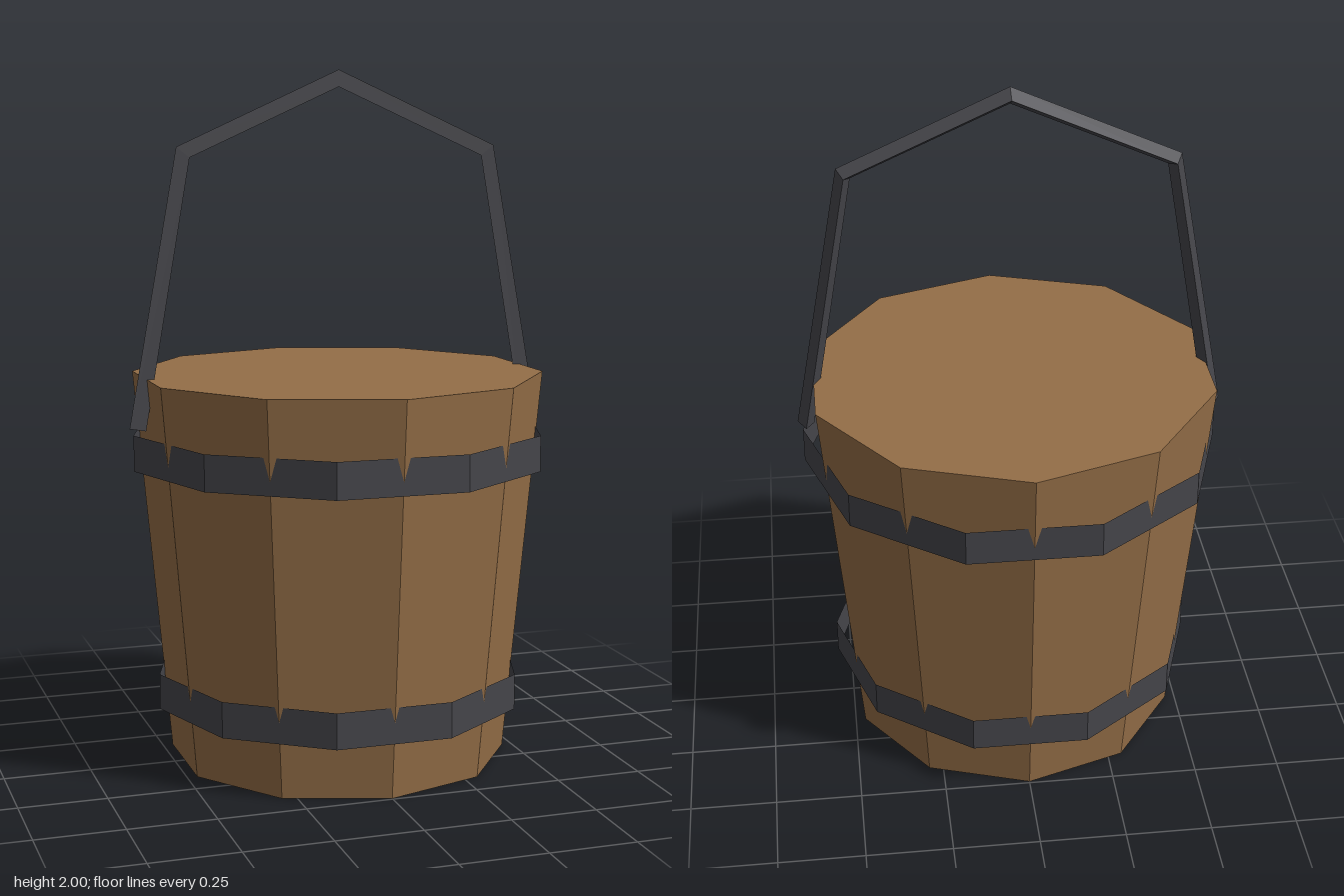
import * as THREE from 'three';

const SIDES = 10;

const wood = new THREE.MeshStandardMaterial({ color: 0x946e47, flatShading: true });
wood.name = 'wood';
const iron = new THREE.MeshStandardMaterial({ color: 0x45454a, flatShading: true, side: THREE.DoubleSide });
iron.name = 'iron';

function addMesh(group, name, geometry, material) {
  const mesh = new THREE.Mesh(geometry, material);
  mesh.name = name;
  group.add(mesh);
  return mesh;
}

// Three-sided bar swept along a path in the xy plane, flat side to the front
function triangularBar(path, radius) {
  const positions = [];
  const index = [];
  path.forEach((p, i) => {
    const before = path[Math.max(i - 1, 0)];
    const after = path[Math.min(i + 1, path.length - 1)];
    const inward = p.clone().sub(before).normalize();
    const onward = after.clone().sub(p).normalize();
    const t = inward.add(onward).normalize();
    const w = radius * Math.sin(Math.PI / 3);
    for (const [side, z] of [[w, radius / 2], [-w, radius / 2], [0, -radius]]) {
      positions.push(p.x - t.y * side, p.y + t.x * side, z);
    }
    if (i === 0) return;
    for (let j = 0; j < 3; j++) {
      const k = (j + 1) % 3;
      const low = 3 * (i - 1), high = 3 * i;
      index.push(low + j, low + k, high + k, low + j, high + k, high + j);
    }
  });
  const last = 3 * (path.length - 1);
  index.push(0, 2, 1, last, last + 1, last + 2);
  const geometry = new THREE.BufferGeometry();
  geometry.setAttribute('position', new THREE.Float32BufferAttribute(positions, 3));
  geometry.setIndex(index);
  const flat = geometry.toNonIndexed();
  flat.computeVertexNormals();
  return flat;
}

export function createModel() {
  const group = new THREE.Group();
  group.name = 'bucket';

  // Tapered wooden body with a corner facing the front
  const height = 1.133;
  const body = addMesh(group, 'body', new THREE.CylinderGeometry(0.599, 0.495, height, SIDES), wood);
  body.position.y = height / 2;

  // Straight thin hoops, turned half a side so the body corners poke through
  for (const [name, radius, y] of [['upperHoop', 0.608, 0.921], ['lowerHoop', 0.542, 0.215]]) {
    const hoop = addMesh(group, name, new THREE.CylinderGeometry(radius, radius, 0.104, SIDES, 1, true), iron);
    hoop.position.y = y;
    hoop.rotation.y = Math.PI / SIDES;
  }

  // Angular carrying handle
  const path = [[-0.598, 0.99], [-0.458, 1.77], [0, 1.976], [0.458, 1.77], [0.598, 0.99]]
    .map(([x, y]) => new THREE.Vector2(x, y));
  addMesh(group, 'handle', triangularBar(path, 0.028), iron);

  return group;
}
